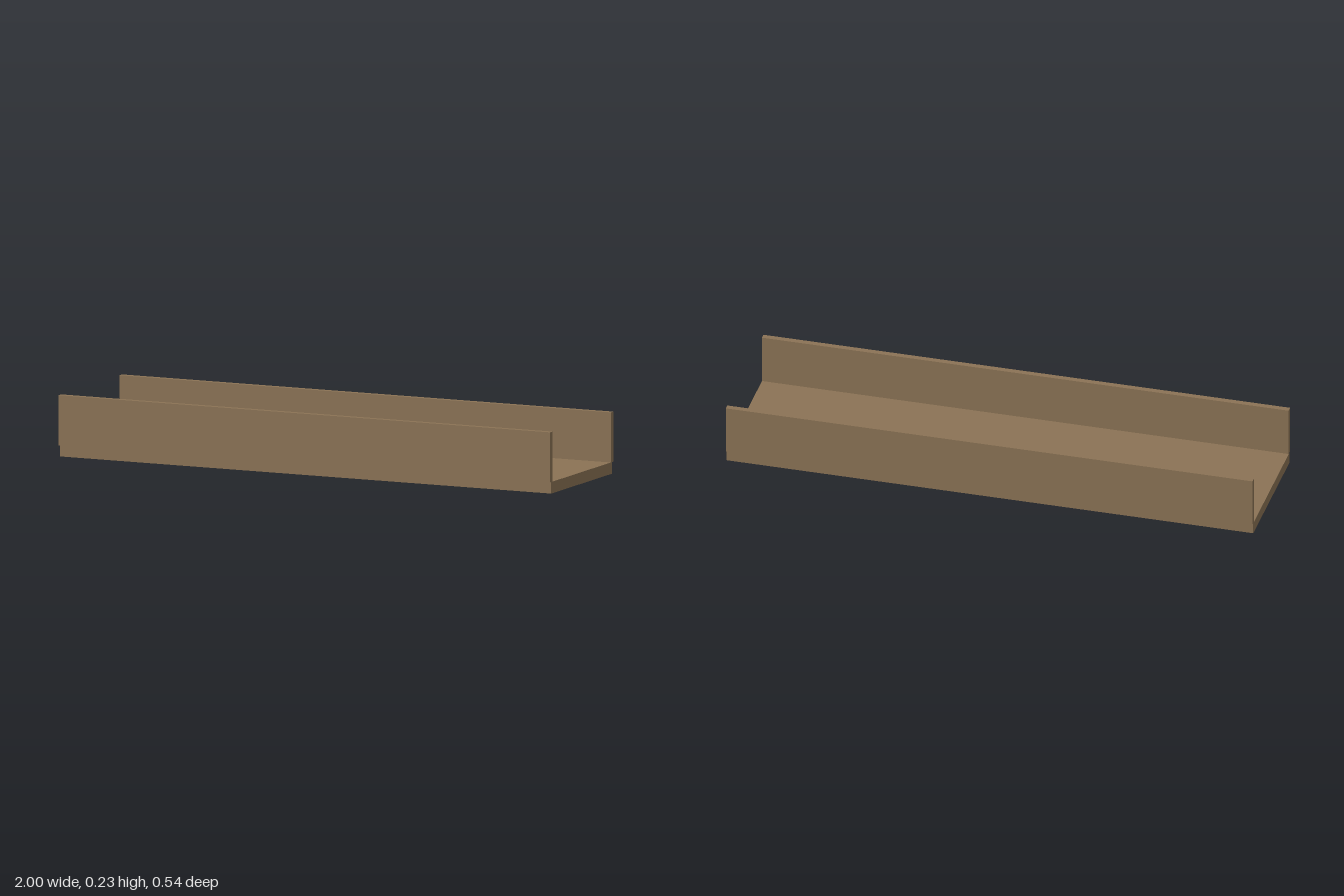
import * as THREE from 'three';

export function createModel() {
  const model = new THREE.Group();
  model.name = 'trough';
  const wood = new THREE.MeshStandardMaterial({ color: 0x8b7355 });

  const length = 2;
  const floorHeight = 0.043, floorWidth = 0.516;
  const wallHeight = 0.186, wallThickness = 0.0215;

  function addBoard(name, height, depth, y, z) {
    const board = new THREE.Mesh(new THREE.BoxGeometry(length, height, depth), wood);
    board.name = name;
    board.position.set(0, y, z);
    model.add(board);
  }

  // Floor plank
  addBoard('floor', floorHeight, floorWidth, floorHeight / 2, 0);

  // Side walls stand on the floor, centred on its long edges
  for (const [name, side] of [['frontWall', 1], ['backWall', -1]]) {
    addBoard(name, wallHeight, wallThickness, floorHeight + wallHeight / 2, side * floorWidth / 2);
  }

  return model;
}
